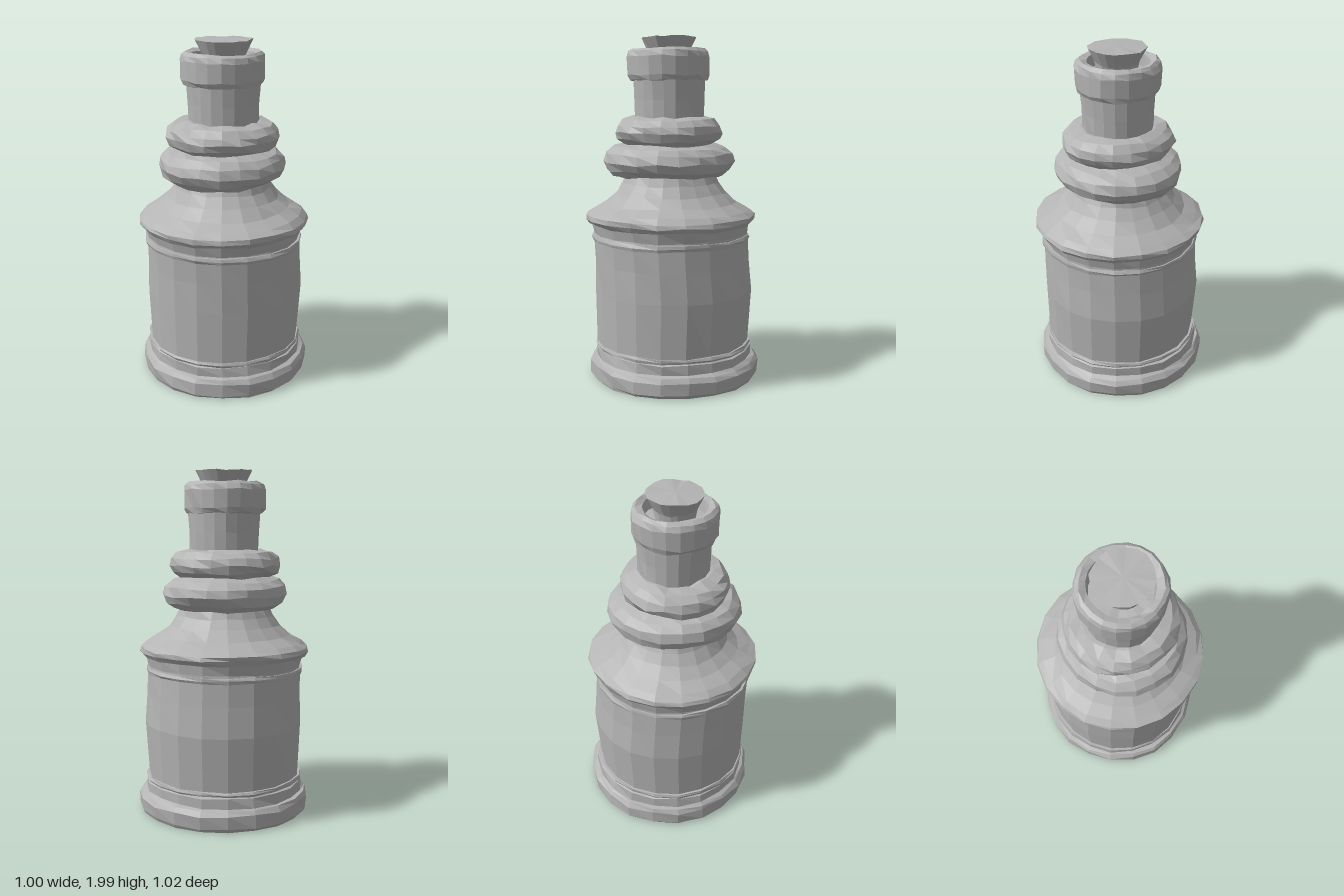
import * as THREE from 'three';

// repeatable value in -1..1 for hand-made unevenness
const noise = (a, b) => {
  const s = Math.sin(a * 127.1 + b * 311.7) * 43758.5453;
  return (s - Math.floor(s)) * 2 - 1;
};

// Turned part; each profile point is [radius, y, z offset of its centre]
function turned(name, profile, material, { wobble = 0.006, sides = 20, depth = 1, shiftX = 0 } = {}) {
  const points = profile.map(([r, y]) => new THREE.Vector2(r, y));
  const geometry = new THREE.LatheGeometry(points, sides);
  const p = geometry.attributes.position;
  const n = points.length;
  for (let k = 0; k < p.count; k++) {
    const i = Math.floor(k / n) % sides;
    const [r, y, oz = 0] = profile[k % n];
    const a = (i / sides) * Math.PI * 2;
    const rr = r > 0 ? r + wobble * noise(i, y * 10) : 0;
    const dy = r > 0 && y > 0.02 ? wobble * noise(i + 31, y * 7) : 0;
    p.setXYZ(k, Math.sin(a) * rr + shiftX, y + dy, Math.cos(a) * rr * depth + oz);
  }
  geometry.computeVertexNormals();
  const mesh = new THREE.Mesh(geometry, material);
  mesh.name = name;
  return mesh;
}

// Thin raised band around the body
const band = (r, y, h, z) => [
  [r - 0.03, y - h, z], [r - 0.005, y - h, z], [r, y, z], [r - 0.005, y + h, z], [r - 0.03, y + h, z],
];

// Soft, bulging collar
const collar = (r, low, high, z) => {
  const mid = (low + high) / 2, h = (high - low) / 2;
  return [[r - 0.14, low, z], [r - 0.06, low + 0.005, z], [r - 0.018, mid - h * 0.62, z], [r, mid - h * 0.1, z],
    [r - 0.012, mid + h * 0.4, z], [r - 0.05, mid + h * 0.82, z], [r - 0.11, high, z], [r - 0.17, high, z]];
};

export function createModel() {
  const grey = new THREE.MeshStandardMaterial({ color: 0xb4b4b4, flatShading: true });
  grey.name = 'plain grey';
  const bottle = new THREE.Group();
  bottle.name = 'bottle';

  bottle.add(
    turned('foot', [
      [0, 0.01], [0.485, 0.01], [0.499, 0.03], [0.5, 0.1], [0.485, 0.125], [0.465, 0.135],
      [0.462, 0.19], [0.44, 0.2],
    ], grey),
    turned('lowerBand', band(0.463, 0.21, 0.013, 0.005), grey, { wobble: 0.004 }),
    turned('body', [
      [0.44, 0.2, 0.01], [0.449, 0.22, 0.01], [0.462, 0.53, 0.003], [0.455, 0.7, 0.012], [0.452, 0.84, 0.02],
      [0.45, 0.87, 0.02], [0.462, 0.93, 0.02],
    ], grey, { wobble: 0.004 }),
    turned('upperBand', band(0.465, 0.845, 0.017, 0.02), grey, { wobble: 0.004 }),
    turned('shoulder', [
      [0.45, 0.925, 0.02], [0.475, 0.93, 0.02], [0.495, 0.955, 0.02], [0.493, 0.98, 0.02],
      [0.455, 1.005, 0.02], [0.385, 1.045, 0.02], [0.325, 1.1, 0.02], [0.282, 1.16, 0.02],
      [0.262, 1.21, 0.02], [0.25, 1.26, 0.025],
    ], grey),
    turned('lowerCollar', collar(0.362, 1.2, 1.385, 0.033), grey, { wobble: 0.008, depth: 1.06 }),
    turned('upperCollar', collar(0.328, 1.38, 1.54, 0.034), grey, { wobble: 0.008, depth: 0.95 }),
    turned('neck', [
      [0.197, 1.5, 0.028], [0.2, 1.54, 0.028], [0.203, 1.64, 0.028], [0.21, 1.76, 0.03],
    ], grey, { wobble: 0.004, shiftX: 0.005 }),

    // hollow lip with a groove around the stopper
    turned('lip', [
      [0.195, 1.745, 0.033], [0.225, 1.75, 0.033], [0.238, 1.775, 0.033], [0.24, 1.88, 0.033],
      [0.23, 1.91, 0.033], [0.21, 1.925, 0.033], [0.175, 1.915, 0.033], [0.165, 1.85, 0.033],
      [0, 1.85, 0.033],
    ], grey, { wobble: 0.005 }),
    turned('stopper', [
      [0.11, 1.84, 0.033], [0.122, 1.91, 0.033], [0.162, 1.99, 0.034], [0, 1.995, 0.034],
    ], grey, { wobble: 0.005, depth: 0.97, shiftX: 0.006 }),
  );
  return bottle;
}
